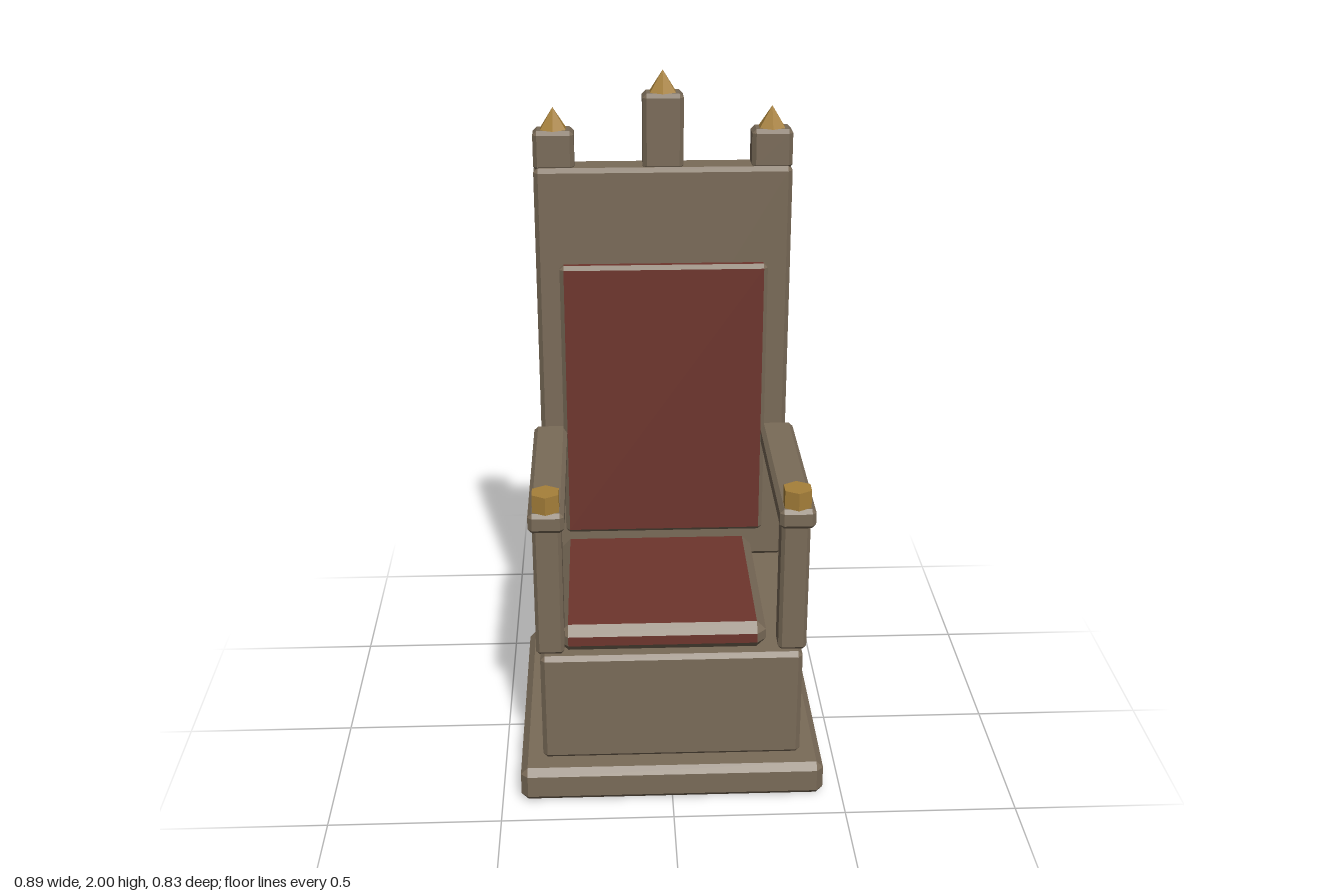
import * as THREE from 'three';

const material = (name, color) => {
  const m = new THREE.MeshStandardMaterial({ color });
  m.name = name;
  return m;
};

// Box with flat chamfers on every edge; group 0 = six faces, group 1 = chamfers
function chamferBox(min, max, bevel) {
  const half = max.map((v, i) => (v - min[i]) / 2);
  const mid = max.map((v, i) => (v + min[i]) / 2);
  const pos = [];
  // corner of the face lying on the given axis, for the given signs
  const corner = (axis, signs) => new THREE.Vector3(
    ...signs.map((s, i) => s * (i === axis ? half[i] : half[i] - bevel)));
  const polygon = (pts) => {
    const n = pts[1].clone().sub(pts[0]).cross(pts[2].clone().sub(pts[0]));
    if (n.dot(pts[0]) < 0) pts.reverse();
    for (let i = 1; i < pts.length - 1; i++)
      for (const p of [pts[0], pts[i], pts[i + 1]])
        pos.push(p.x + mid[0], p.y + mid[1], p.z + mid[2]);
  };
  const signed = (a, sa, b, sb, c, sc) => {
    const s = [0, 0, 0];
    s[a] = sa; s[b] = sb; s[c] = sc;
    return s;
  };
  const S = [-1, 1];
  for (let a = 0; a < 3; a++) {
    const b = (a + 1) % 3, c = (a + 2) % 3;
    for (const s of S)
      polygon([[-1, -1], [1, -1], [1, 1], [-1, 1]].map(([u, v]) => corner(a, signed(a, s, b, u, c, v))));
  }
  const faceCount = pos.length / 3;
  for (let a = 0; a < 3; a++) {
    const b = (a + 1) % 3, c = (a + 2) % 3;
    for (const u of S) for (const v of S) {
      const lo = signed(a, u, b, v, c, -1), hi = signed(a, u, b, v, c, 1);
      polygon([corner(a, lo), corner(a, hi), corner(b, hi), corner(b, lo)]);
    }
  }
  for (const x of S) for (const y of S) for (const z of S)
    polygon([0, 1, 2].map((a) => corner(a, [x, y, z])));
  const g = new THREE.BufferGeometry();
  g.setAttribute('position', new THREE.Float32BufferAttribute(pos, 3));
  g.computeVertexNormals();
  g.addGroup(0, faceCount, 0);
  g.addGroup(faceCount, pos.length / 3 - faceCount, 1);
  return g;
}

export function createModel() {
  const group = new THREE.Group();
  group.name = 'throne';
  const stone = material('stone', 0x7a6b58);
  const velvet = material('red velvet', 0x6e352d);
  const gold = material('gold', 0xa6803a);
  gold.flatShading = true;

  const block = (name, min, max, bevel, face = stone) => {
    const mesh = new THREE.Mesh(chamferBox(min, max, bevel), [face, stone]);
    mesh.name = name;
    group.add(mesh);
  };
  // Six-sided gold ornament standing on y
  const ornament = (name, topRadius, height, x, y, z) => {
    const mesh = new THREE.Mesh(new THREE.CylinderGeometry(topRadius, 0.043, height, 6), gold);
    mesh.name = name;
    mesh.position.set(x, y + height / 2, z);
    group.add(mesh);
  };

  // Base, plinth and back
  block('baseStep', [-0.445, 0, -0.415], [0.445, 0.107, 0.415], 0.02);
  block('plinth', [-0.38, 0.107, -0.37], [0.38, 0.45, 0.35], 0.013);
  block('backPanel', [-0.38, 0.45, -0.37], [0.38, 1.725, -0.265], 0.013);

  // Cushions with plain chamfered borders
  block('seatCushion', [-0.325, 0.45, -0.265], [0.275, 0.533, 0.33], 0.027, velvet);
  block('backCushion', [-0.31, 0.56, -0.265], [0.31, 1.44, -0.225], 0.012, velvet);

  // Crest posts with pointed finials
  for (const [x, top] of [[-0.32, 1.832], [0, 1.938], [0.32, 1.832]]) {
    block('crestPost', [x - 0.06, 1.715, -0.362], [x + 0.06, top, -0.278], 0.012);
    ornament('finial', 0, 0.063, x, top, -0.32);
  }

  // Arms, their front posts and knobs
  for (const side of [-1, 1]) {
    const x = side * 0.35;
    block('armRest', [x - 0.051, 0.858, -0.265], [x + 0.051, 0.918, 0.37], 0.012);
    block('armPost', [x - 0.041, 0.45, 0.25], [x + 0.041, 0.858, 0.332], 0.01);
    ornament('armKnob', 0.043, 0.053, x, 0.918, 0.33);
  }
  return group;
}
